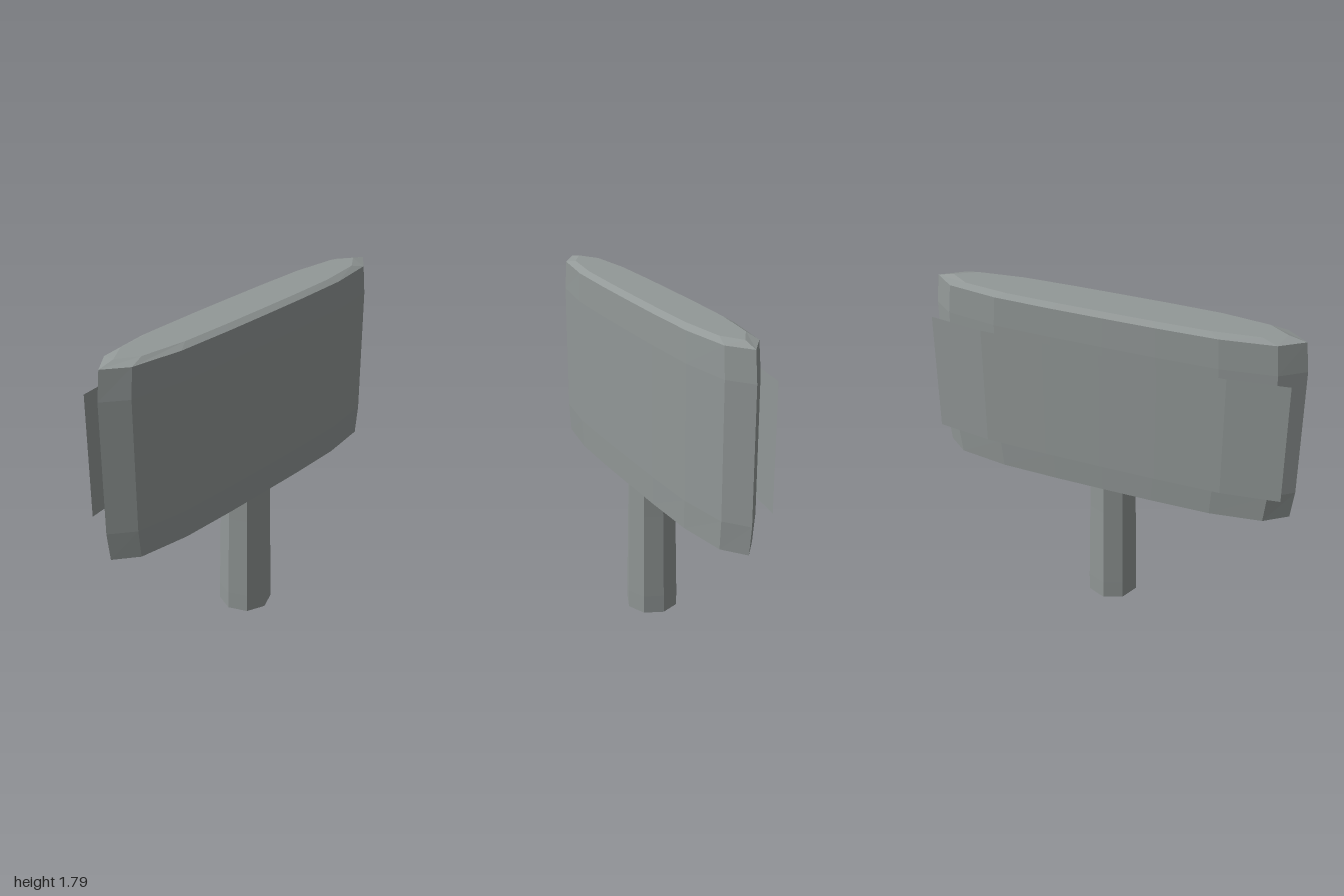
import * as THREE from 'three';

const Z = 0.022; // shared depth centre

const grey = new THREE.MeshStandardMaterial({ color: 0x929897, flatShading: true, side: THREE.DoubleSide });
grey.name = 'grey';

// Skin between rings of equal length; skip(row, column) leaves openings
function loft(rings, { closed = true, caps = true, skip = () => false } = {}) {
  const n = rings[0].length;
  const positions = rings.flat(2);
  const index = [];
  for (let r = 0; r < rings.length - 1; r++) {
    for (let c = 0; c < (closed ? n : n - 1); c++) {
      if (skip(r, c)) continue;
      const a = r * n + c, b = r * n + (c + 1) % n;
      index.push(a, a + n, b, b, a + n, b + n);
    }
  }
  if (caps) {
    const top = (rings.length - 1) * n;
    for (let c = 1; c < n - 1; c++) {
      index.push(0, c, c + 1);
      index.push(top, top + c + 1, top + c);
    }
  }
  const g = new THREE.BufferGeometry();
  g.setAttribute('position', new THREE.Float32BufferAttribute(positions, 3));
  g.setIndex(index);
  const flat = g.toNonIndexed();
  flat.computeVertexNormals();
  return flat;
}

function addPart(group, name, geometry) {
  const mesh = new THREE.Mesh(geometry, grey);
  mesh.name = name;
  group.add(mesh);
}

export function createModel() {
  const group = new THREE.Group();
  group.name = 'paddleSign';

  // Plan outline of the head: +x tip, along the front, -x tip, along the back
  const quarter = [[1, 0], [0.88, 0.094], [0.6, 0.136], [0.28, 0.144]];
  const front = [...quarter, [0, 0.145], ...quarter.slice(1).reverse().map(([x, z]) => [-x, z])];
  const outline = [...front, ...front.map(([x, z]) => [-x, -z])];
  outline.splice(8, 0, [-1, 0]);
  outline.splice(9, 1);

  // Head rows: height, width scale, depth scale
  const rows = [
    [0.745, 0.89, 0.74], [0.765, 0.982, 0.965], [0.92, 1, 1], [0.985, 1, 1],
    [1.555, 1, 1], [1.62, 1, 1], [1.775, 0.982, 0.965], [1.795, 0.89, 0.74],
  ];
  const rings = rows.map(([y, sx, sz]) => outline.map(([x, z]) => [x * sx, y, Z + z * sz]));
  // The back is open behind the panel
  addPart(group, 'head', loft(rings, { skip: (r, c) => r === 3 && c >= 9 && c <= 14 }));

  // Thin curved panel standing off the back
  const back = outline.slice(9, 16);
  const panel = [0.943, 1.6].map((y) => back.map(([x, z]) => [x * 1.09, y, Z + z - 0.045]));
  addPart(group, 'backPanel', loft(panel, { closed: false, caps: false }));

  // Eight-sided handle, slightly tapered with a chamfered foot
  const handleRows = [[0.003, 0.108], [0.018, 0.143], [0.12, 0.143], [0.6, 0.134], [0.76, 0.132]];
  const handle = handleRows.map(([y, r]) => Array.from({ length: 8 }, (_, i) => {
    const a = (i * Math.PI) / 4;
    return [r * Math.cos(a), y, Z + 0.003 + r * Math.sin(a)];
  }));
  addPart(group, 'handle', loft(handle));

  return group;
}
